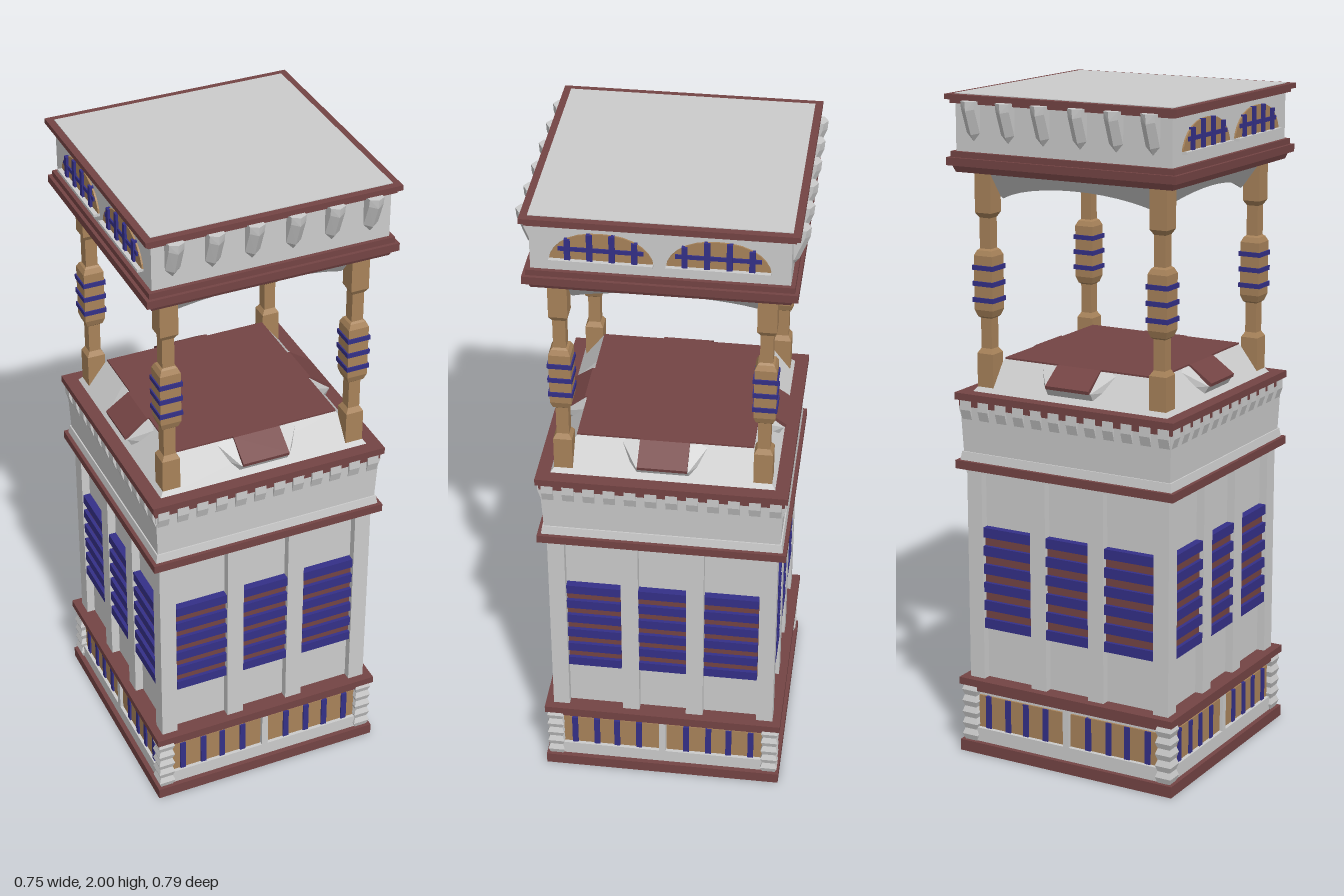
import * as THREE from 'three';
import { ConvexGeometry } from 'three/addons/geometries/ConvexGeometry.js';

const mat = (color) => new THREE.MeshStandardMaterial({ color, flatShading: true, side: THREE.DoubleSide });
const GREY = mat(0xcccccc), MAROON = mat(0x744444), BLUE = mat(0x343088), TAN = mat(0xa8835a);

function add(parent, name, geometry, material) {
  const mesh = new THREE.Mesh(geometry, material);
  mesh.name = name;
  parent.add(mesh);
  return mesh;
}

// Box given by its limits on each axis
function block(parent, name, material, x0, x1, y0, y1, z0, z1) {
  const g = new THREE.BoxGeometry(x1 - x0, y1 - y0, z1 - z0);
  g.translate((x0 + x1) / 2, (y0 + y1) / 2, (z0 + z1) / 2);
  return add(parent, name, g, material);
}

// Square tier centred on the axis, with half widths at bottom and top
function tier(parent, name, material, y0, y1, h0, h1 = h0) {
  const g = new THREE.CylinderGeometry(h1 * Math.SQRT2, h0 * Math.SQRT2, y1 - y0, 4);
  g.rotateY(Math.PI / 4).translate(0, (y0 + y1) / 2, 0);
  return add(parent, name, g, material);
}

// Build the same thing on all or some of the four sides
function onSides(parent, name, build, sides = [0, 1, 2, 3]) {
  for (const i of sides) {
    const side = new THREE.Group();
    side.name = name;
    side.rotation.y = i * Math.PI / 2;
    build(side);
    parent.add(side);
  }
}

function hull(parent, name, material, points) {
  return add(parent, name, new ConvexGeometry(points.map((p) => new THREE.Vector3(...p))), material);
}

function buildBase(root) {
  tier(root, 'baseSlab', MAROON, 0, 0.035, 0.365);
  tier(root, 'baseWall', GREY, 0.035, 0.215, 0.335);
  tier(root, 'baseCornice', MAROON, 0.215, 0.237, 0.365);
  onSides(root, 'basePanels', (s) => {
    block(s, 'lowerRail', GREY, -0.32, 0.32, 0.035, 0.078, 0.33, 0.35);
    block(s, 'upperRail', MAROON, -0.31, 0.31, 0.198, 0.216, 0.33, 0.355);
    block(s, 'centreStrut', GREY, -0.01, 0.01, 0.07, 0.2, 0.33, 0.35);
    for (const m of [-1, 1]) {
      const mid = 0.161 * m;
      block(s, 'panel', TAN, mid - 0.149, mid + 0.149, 0.08, 0.182, 0.33, 0.341);
      for (const x of [0.074, 0.143, 0.206, 0.275])
        block(s, 'panelBar', BLUE, x * m - 0.009, x * m + 0.009, 0.08, 0.182, 0.33, 0.346);
    }
    // Ribbed corner stones
    for (let i = 0; i < 5; i++) {
      const rib = tier(s, 'cornerRib', GREY, 0.035 + i * 0.036, 0.053 + i * 0.036, 0.02, 0.026);
      const rib2 = tier(s, 'cornerRib', GREY, 0.053 + i * 0.036, 0.071 + i * 0.036, 0.026, 0.02);
      for (const r of [rib, rib2]) r.position.set(0.334, 0, 0.334);
    }
  });
}

function buildShaft(root) {
  tier(root, 'shaftWall', GREY, 0.237, 0.895, 0.315);
  tier(root, 'shaftHead', GREY, 0.882, 0.896, 0.342);
  onSides(root, 'shaftSide', (s) => {
    block(s, 'cornerPilaster', GREY, 0.29, 0.34, 0.237, 0.885, 0.29, 0.34);
    for (const m of [-1, 1])
      block(s, 'pilaster', GREY, 0.098 * m - 0.026, 0.098 * m + 0.026, 0.237, 0.885, 0.3, 0.34);
    // Louvres between the pilasters
    for (const [x, h] of [[-0.207, 0.081], [0, 0.072], [0.207, 0.081]]) {
      block(s, 'louvreBack', MAROON, x - h, x + h, 0.405, 0.71, 0.31, 0.327);
      for (let i = 0; i < 6; i++) {
        const y = 0.4 + i * 0.057;
        block(s, 'louvreSlat', BLUE, x - h, x + h, y, y + 0.03, 0.31, 0.338);
      }
    }
  });
}

function buildGallery(root) {
  tier(root, 'galleryBand', MAROON, 0.895, 0.92, 0.365);
  tier(root, 'galleryFoot', GREY, 0.92, 0.946, 0.354, 0.35);
  tier(root, 'galleryWall', GREY, 0.946, 1.09, 0.346, 0.352);
  tier(root, 'dentilStrip', MAROON, 1.085, 1.106, 0.355);
  tier(root, 'galleryCornice', MAROON, 1.105, 1.126, 0.364);
  onSides(root, 'dentils', (s) => {
    for (let i = 0; i < 12; i++) {
      const x = (i - 5.5) * 0.06, w = 0.017;
      hull(s, 'dentil', GREY, [-w, w].flatMap((d) => [
        [x + d, 1.106, 0.34], [x + d, 1.106, 0.36], [x + d, 1.075, 0.36], [x + d, 1.03, 0.345]]));
    }
  });
}

function buildDeck(root) {
  tier(root, 'deckCurb', GREY, 1.125, 1.217, 0.325, 0.255);
  tier(root, 'deck', MAROON, 1.215, 1.222, 0.255);
  // Short ramps with splayed cheeks
  onSides(root, 'ramp', (s) => {
    hull(s, 'rampCheeks', GREY, [-1, 1].flatMap((m) => [
      [0.13 * m, 1.217, 0.25], [0.13 * m, 1.165, 0.25], [0.075 * m, 1.217, 0.26],
      [0.075 * m, 1.165, 0.325], [0.075 * m, 1.14, 0.31]]));
    hull(s, 'rampPlate', MAROON, [-1, 1].flatMap((m) => [
      [0.072 * m, 1.222, 0.25], [0.072 * m, 1.222, 0.262], [0.072 * m, 1.174, 0.332],
      [0.072 * m, 1.164, 0.33], [0.072 * m, 1.2, 0.25]]));
  });
}

function buildPosts(root) {
  // Square turned profile: half width, height
  const profile = [[0.027, 1.13], [0.027, 1.24], [0.018, 1.255], [0.018, 1.345], [0.024, 1.35], [0.031, 1.37],
    [0.031, 1.53], [0.024, 1.545], [0.018, 1.55], [0.018, 1.64], [0.027, 1.655], [0.027, 1.785]];
  const points = profile.map(([r, y]) => new THREE.Vector2(r * Math.SQRT2, y));
  onSides(root, 'post', (s) => {
    const g = new THREE.LatheGeometry(points, 4).rotateY(Math.PI / 4);
    add(s, 'postShaft', g, TAN).position.set(0.287, 0, 0.287);
    for (const y of [1.4, 1.448, 1.495])
      tier(s, 'postRing', BLUE, y - 0.007, y + 0.007, 0.035).position.set(0.287, 0, 0.287);
  });
}

function buildVault(root) {
  // Ceiling grid with arched edges; its outermost ring flares up to the beam
  const n = 14, g = new THREE.PlaneGeometry(1, 1, n, n), p = g.attributes.position;
  for (let k = 0; k < p.count; k++) {
    const a = (k % (n + 1) - 7) / 6, b = (Math.floor(k / (n + 1)) - 7) / 6;
    const u = THREE.MathUtils.clamp(a, -1, 1), v = THREE.MathUtils.clamp(b, -1, 1);
    if (Math.max(Math.abs(a), Math.abs(b)) > 1.01) {
      p.setXYZ(k, u * 0.325, 1.785, v * 0.325);
    } else {
      const rise = 0.045 * (1 - u * u * v * v), half = 0.255 + rise * 0.75;
      const sag = 0.018 * Math.max(0, 1 - (u * u + v * v) / 0.12);
      p.setXYZ(k, u * half, 1.692 + rise - sag, v * half);
    }
  }
  add(root, 'vault', g, GREY);
}

function buildRoof(root) {
  tier(root, 'beamLower', MAROON, 1.775, 1.797, 0.352, 0.36);
  tier(root, 'beamMiddle', MAROON, 1.795, 1.818, 0.372);
  tier(root, 'beamUpper', MAROON, 1.818, 1.835, 0.362);
  tier(root, 'roofWall', GREY, 1.835, 1.978, 0.35);
  tier(root, 'roofMould', MAROON, 1.972, 1.985, 0.362);
  tier(root, 'roofSlab', MAROON, 1.983, 1.998, 0.373);
  tier(root, 'roofPlate', GREY, 1.996, 2, 0.352);

  // Pointed brackets on front and back
  onSides(root, 'brackets', (s) => {
    for (const x of [-0.29, -0.175, -0.06, 0.06, 0.175, 0.29])
      hull(s, 'bracket', GREY, [
        ...[-0.022, 0.022].flatMap((d) => [[x + d, 1.982, 0.345], [x + d, 1.982, 0.383],
          [x + d, 1.96, 0.38], [x + d, 1.89, 0.352]]),
        [x, 1.982, 0.395], [x, 1.955, 0.393], [x, 1.885, 0.366], [x, 1.866, 0.35]]);
  }, [0, 2]);

  // Pairs of arched windows on left and right
  onSides(root, 'windows', (s) => {
    for (const m of [-1, 1]) {
      const cx = 0.157 * m, w = 0.14, h = 0.083, y0 = 1.872;
      const arch = (d) => h * Math.pow(Math.max(0, 1 - Math.pow(Math.abs(d) / w, 2.4)), 0.6);
      const shape = new THREE.Shape();
      for (let i = 0; i <= 14; i++) {
        const d = -w * Math.cos(Math.PI * i / 14);
        shape[i ? 'lineTo' : 'moveTo'](cx + d, y0 + arch(d));
      }
      const g = new THREE.ExtrudeGeometry(shape, { depth: 0.014, bevelEnabled: false });
      add(s, 'windowPanel', g.translate(0, 0, 0.341), TAN);
      for (const d of [-0.09, -0.03, 0.03, 0.09])
        block(s, 'windowBar', BLUE, cx + d - 0.008, cx + d + 0.008, y0, y0 + arch(d), 0.345, 0.362);
      block(s, 'windowCrossbar', BLUE, cx - 0.115, cx + 0.115, 1.9, 1.912, 0.345, 0.359);
      block(s, 'windowSill', GREY, cx - w, cx + w, 1.866, 1.874, 0.345, 0.368);
    }
  }, [1, 3]);
}

export function createModel() {
  const root = new THREE.Group();
  root.name = 'tower';
  for (const build of [buildBase, buildShaft, buildGallery, buildDeck, buildPosts, buildVault, buildRoof]) build(root);
  return root;
}
